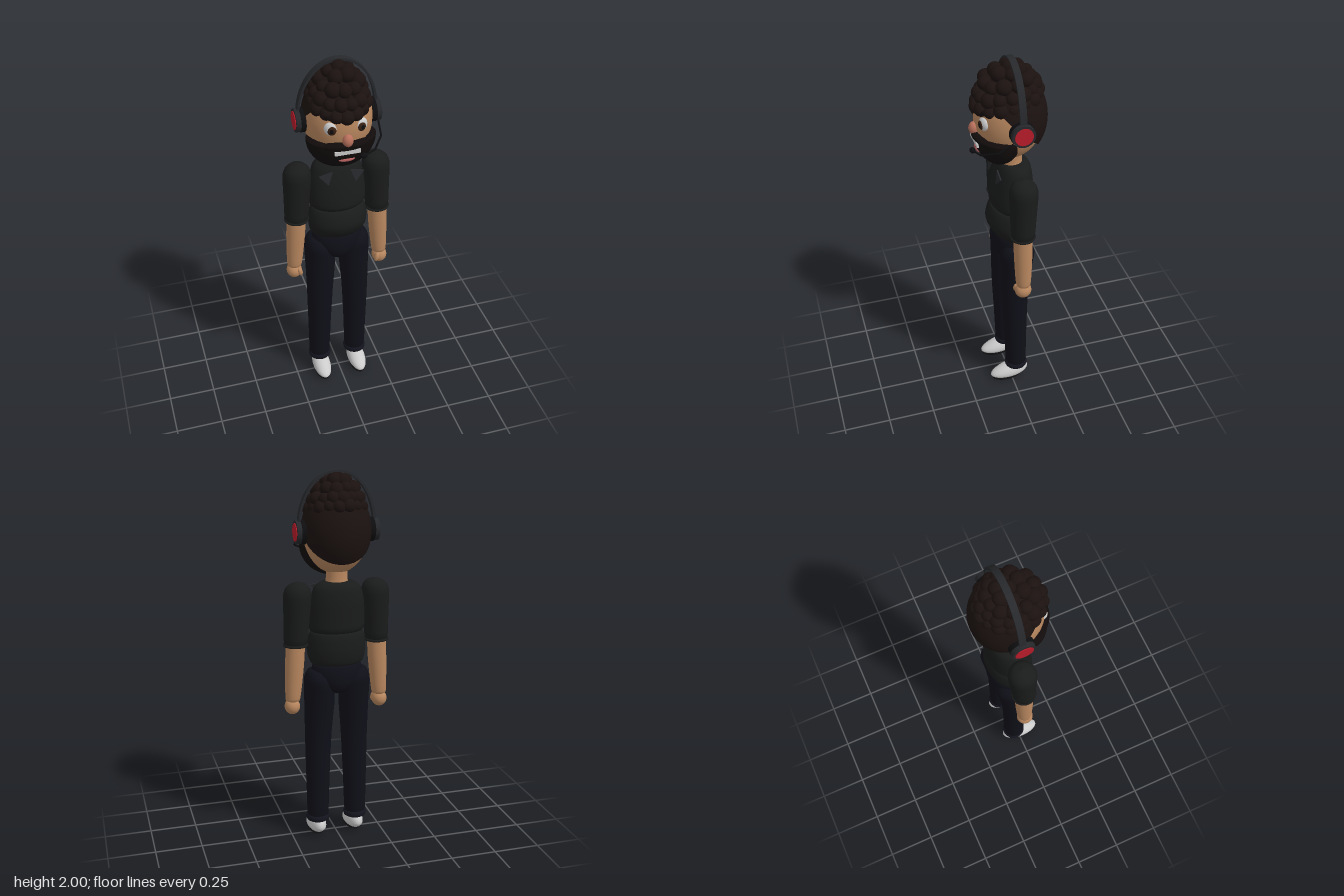
import * as THREE from 'three';
import { mergeVertices } from 'three/addons/utils/BufferGeometryUtils.js';

const mat = (color) => new THREE.MeshStandardMaterial({ color });
const M = {
  skin: mat(0xb8875f), nose: mat(0xb8705c), hair: mat(0x1b1210), beard: mat(0x110c0b),
  shirt: mat(0x1a1b1b), pants: mat(0x0f0f18), cuff: mat(0x14141f), shoe: mat(0xdedede),
  black: mat(0x0e0e10), gray: mat(0x26282b), red: mat(0xb81c2a), white: mat(0xe6e6e6),
  iris: mat(0x3a2214), lip: mat(0xb5605f),
};

export function createModel() {
  const root = new THREE.Group();
  const add = (name, geo, material, parent = root) => {
    const m = new THREE.Mesh(geo, material);
    m.name = name;
    parent.add(m);
    return m;
  };

  // Ellipsoid at a position with given radii
  const ball = (name, p, r, material, parent = root) => {
    const m = add(name, new THREE.SphereGeometry(1, 28, 20), material, parent);
    m.position.set(...p);
    m.scale.set(...r);
    return m;
  };

  // Smooth skin through elliptical rings [x, y, z, rx, rz], listed top to bottom
  const loft = (name, rings, material, parent = root) => {
    const steps = (rings.length - 1) * 3;
    const a = new THREE.CatmullRomCurve3(rings.map((r) => new THREE.Vector3(r[0], r[1], r[2])));
    const b = new THREE.CatmullRomCurve3(rings.map((r) => new THREE.Vector3(r[3], 0, r[4])));
    const g = new THREE.CylinderGeometry(1, 1, 1, 32, steps, true);
    const p = g.attributes.position;
    for (let i = 0; i < p.count; i++) {
      const t = Math.min(1, Math.max(0, 0.5 - p.getY(i)));
      const c = a.getPoint(t), r = b.getPoint(t);
      p.setXYZ(i, c.x + p.getX(i) * Math.max(r.x, 0.0005), c.y, c.z + p.getZ(i) * Math.max(r.z, 0.0005));
    }
    g.deleteAttribute('uv');
    g.deleteAttribute('normal');
    const s = mergeVertices(g, 1e-5);
    s.computeVertexNormals();
    return add(name, s, material, parent);
  };

  // Torso
  loft('chest', [
    [0, 1.437, -0.04, 0, 0], [0, 1.43, -0.042, 0.09, 0.062], [0, 1.4, -0.042, 0.125, 0.083],
    [0, 1.33, -0.035, 0.143, 0.1], [0, 1.25, -0.027, 0.15, 0.108], [0, 1.2, -0.025, 0.151, 0.11],
    [0, 1.17, -0.027, 0.138, 0.098], [0, 1.16, -0.03, 0, 0]], M.shirt);
  loft('belly', [
    [0, 1.185, -0.025, 0, 0], [0, 1.17, -0.025, 0.135, 0.1], [0, 1.135, -0.021, 0.15, 0.115],
    [0, 1.08, -0.017, 0.157, 0.122], [0, 1.03, -0.023, 0.152, 0.11], [0, 0.995, -0.03, 0.135, 0.09],
    [0, 0.985, -0.03, 0, 0]], M.shirt);
  loft('pelvis', [
    [0, 1.003, -0.032, 0, 0], [0, 0.995, -0.032, 0.125, 0.087], [0, 0.95, -0.032, 0.137, 0.1],
    [0, 0.9, -0.032, 0.12, 0.1], [0, 0.85, -0.032, 0.07, 0.08], [0, 0.815, -0.032, 0, 0]], M.pants);
  loft('neck', [[0, 1.52, -0.03, 0.055, 0.053], [0, 1.45, -0.03, 0.056, 0.053],
    [0, 1.41, -0.03, 0.062, 0.058]], M.skin);

  // Limbs, mirrored
  for (const s of [1, -1]) {
    const side = s > 0 ? 'left' : 'right';
    const arm = new THREE.Group();
    arm.name = side + 'Arm';
    root.add(arm);
    loft('sleeve', [
      [s * 0.205, 1.438, -0.03, 0, 0], [s * 0.206, 1.425, -0.03, 0.042, 0.043],
      [s * 0.208, 1.4, -0.03, 0.065, 0.065], [s * 0.21, 1.36, -0.03, 0.073, 0.073],
      [s * 0.214, 1.25, -0.028, 0.068, 0.068], [s * 0.22, 1.11, -0.025, 0.061, 0.06],
      [s * 0.22, 1.095, -0.025, 0, 0]], M.shirt, arm);
    const hem = add('sleeveHem', new THREE.TorusGeometry(0.059, 0.007, 8, 32), M.shirt, arm);
    hem.rotation.x = Math.PI / 2;
    hem.position.set(s * 0.22, 1.103, -0.025);
    loft('forearm', [
      [s * 0.221, 1.12, -0.025, 0.051, 0.049], [s * 0.227, 1.0, -0.025, 0.05, 0.048],
      [s * 0.236, 0.85, -0.025, 0.043, 0.042], [s * 0.239, 0.8, -0.025, 0.038, 0.037],
      [s * 0.239, 0.785, -0.025, 0, 0]], M.skin, arm);
    ball('hand', [s * 0.242, 0.765, -0.023], [0.041, 0.044, 0.044], M.skin, arm);
    const thumb = ball('thumb', [s * 0.218, 0.768, 0.008], [0.014, 0.028, 0.016], M.skin, arm);
    thumb.rotation.z = s * -0.25;

    const leg = new THREE.Group();
    leg.name = side + 'Leg';
    root.add(leg);
    loft('trouserLeg', [
      [s * 0.11, 0.975, -0.034, 0, 0], [s * 0.111, 0.955, -0.034, 0.048, 0.066],
      [s * 0.104, 0.91, -0.034, 0.073, 0.092], [s * 0.095, 0.84, -0.031, 0.082, 0.087],
      [s * 0.1, 0.6, -0.021, 0.072, 0.072], [s * 0.104, 0.35, -0.024, 0.064, 0.063],
      [s * 0.106, 0.1, -0.028, 0.056, 0.055], [s * 0.106, 0.085, -0.028, 0, 0]], M.pants, leg);
    const cuff = add('trouserCuff', new THREE.TorusGeometry(0.053, 0.011, 8, 32), M.cuff, leg);
    cuff.rotation.x = Math.PI / 2;
    cuff.scale.z = 1.7;
    cuff.position.set(s * 0.106, 0.108, -0.028);

    // Shoe: a ball lowered towards the toe and flattened underneath
    const g = new THREE.SphereGeometry(1, 32, 24);
    const p = g.attributes.position;
    for (let i = 0; i < p.count; i++) {
      const y = p.getY(i), z = p.getZ(i);
      const mid = 0.045 - 0.014 * z;
      const h = y > 0 ? 0.053 - 0.018 * z : 0.038 - 0.01 * z;
      p.setXYZ(i, p.getX(i) * 0.05, Math.max(0.006, mid + y * h), z * 0.109);
    }
    g.computeVertexNormals();
    add('shoe', g, M.shoe, leg).position.set(s * 0.106, 0, 0.012);
    ball('sole', [s * 0.106, 0.009, 0.03], [0.042, 0.009, 0.083], M.black, leg);

    // Collar flap
    const tri = new THREE.Shape([[0.118, 1.397], [0.045, 1.412], [0.07, 1.343]]
      .map(([x, y]) => new THREE.Vector2((x - 0.07) * s, y - 1.343)));
    const flap = add(side + 'CollarFlap',
      new THREE.ExtrudeGeometry(tri, { depth: 0.008, bevelEnabled: false }), M.gray);
    flap.position.set(s * 0.071, 1.343, 0.068);
    flap.rotation.x = -0.22;
  }

  // Head
  const head = new THREE.Group();
  head.name = 'head';
  root.add(head);
  ball('face', [0, 1.69, -0.015], [0.172, 0.222, 0.175], M.skin, head);

  // Hair cap: half ellipsoid tilted to the back
  const cap = new THREE.SphereGeometry(1, 40, 20, 0, Math.PI * 2, 0, Math.PI / 2);
  cap.rotateX(-0.7);
  cap.scale(0.179, 0.234, 0.187);
  const capMat = mat(0x1b1210);
  capMat.side = THREE.DoubleSide;
  add('hairCap', cap, capMat, head).position.set(0, 1.69, -0.02);

  // Curls in staggered rings over the crown, dropping lower at the front
  const curls = new THREE.Group();
  curls.name = 'curls';
  head.add(curls);
  [[0, 1], [0.42, 6], [0.8, 11], [1.1, 15], [1.33, 17]].forEach(([tilt, n], k) => {
    for (let i = 0; i < n; i++) {
      const a = ((i + (k % 2) * 0.5) / n) * Math.PI * 2;
      const t = tilt * (0.92 + 0.1 * Math.cos(a));
      const r = 0.036 + 0.004 * Math.sin(i * 2.3 + k * 1.7);
      ball('curl', [
        0.136 * Math.sin(t) * Math.sin(a),
        1.722 + 0.236 * Math.cos(t) + 0.004 * Math.sin(i * 3.1 + k),
        -0.012 + 0.162 * Math.sin(t) * Math.cos(a)], [r, r, r], M.hair, curls);
    }
  });

  // Beard: ellipsoid with a flattened top, plus moustache
  const bg = new THREE.SphereGeometry(1, 36, 28);
  const bp = bg.attributes.position;
  for (let i = 0; i < bp.count; i++) if (bp.getY(i) > 0) bp.setY(i, bp.getY(i) * 0.12);
  bg.scale(0.177, 0.165, 0.122);
  bg.computeVertexNormals();
  add('beard', bg, M.beard, head).position.set(0, 1.615, 0.045);
  for (const s of [1, -1]) {
    const m = ball('moustache', [s * 0.052, 1.618, 0.143], [0.068, 0.02, 0.032], M.beard, head);
    m.rotation.set(0, s * 0.35, s * -0.12);
    // Eyes and brows
    ball('eyeWhite', [s * 0.075, 1.71, 0.128], [0.034, 0.037, 0.024], M.white, head).rotation.y = s * 0.35;
    ball('iris', [s * 0.075, 1.707, 0.144], [0.022, 0.025, 0.012], M.iris, head).rotation.y = s * 0.3;
    ball('pupil', [s * 0.075, 1.707, 0.151], [0.012, 0.014, 0.007], M.black, head);
    const brow = add('brow', new THREE.CapsuleGeometry(0.013, 0.06, 6, 14), M.beard, head);
    brow.position.set(s * 0.068, 1.768, 0.142);
    brow.rotation.set(0, s * 0.4, Math.PI / 2 + s * 0.28);
  }
  ball('nose', [0, 1.65, 0.163], [0.027, 0.034, 0.026], M.nose, head);
  const teeth = add('teeth', new THREE.BoxGeometry(0.13, 0.021, 0.03), M.white, head);
  teeth.position.set(0, 1.584, 0.151);
  ball('lowerLip', [0, 1.535, 0.145], [0.042, 0.012, 0.014], M.lip, head);

  // Headset
  const headset = new THREE.Group();
  headset.name = 'headset';
  root.add(headset);
  const band = new THREE.Shape();
  band.absellipse(0, 0, 0.204, 0.282, 0, Math.PI, false);
  band.absellipse(0, 0, 0.192, 0.27, Math.PI, 0, true);
  add('headband', new THREE.ExtrudeGeometry(band,
    { depth: 0.034, bevelEnabled: false, curveSegments: 32 }), M.gray, headset).position.set(0, 1.715, -0.046);
  for (const s of [1, -1]) {
    const disc = (name, r, x, w, material) => {
      const m = add(name, new THREE.CylinderGeometry(r, r, w, 36), material, headset);
      m.rotation.z = Math.PI / 2;
      m.position.set(s * x, 1.69, -0.027);
    };
    disc('earPad', 0.062, 0.18, 0.024, M.black);
    disc('earCup', 0.059, 0.2, 0.032, M.gray);
    disc('earCupDisc', 0.046, 0.216, 0.008, M.red);
  }
  // Microphone boom on the left cup
  const path = new THREE.CurvePath();
  const pts = [[0.2, 1.65, 0.02], [0.192, 1.605, 0.093], [0.137, 1.575, 0.164], [0.072, 1.57, 0.19]]
    .map((p) => new THREE.Vector3(...p));
  for (let i = 0; i < 3; i++) path.add(new THREE.LineCurve3(pts[i], pts[i + 1]));
  add('microphoneBoom', new THREE.TubeGeometry(path, 36, 0.005, 8), M.black, headset);
  ball('microphone', [0.072, 1.57, 0.19], [0.018, 0.014, 0.014], M.black, headset);

  return root;
}
